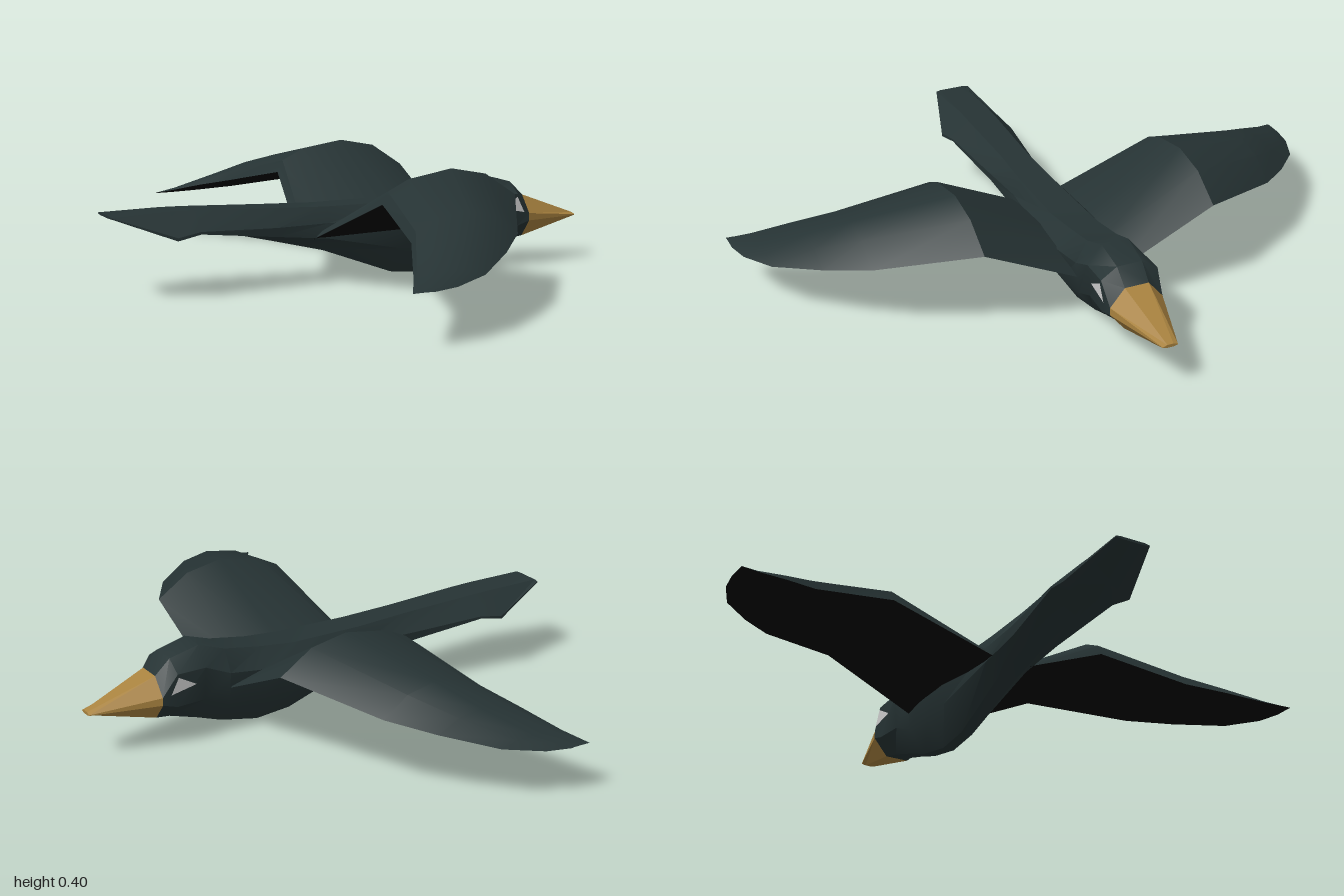
import * as THREE from 'three';
import { toCreasedNormals } from 'three/addons/utils/BufferGeometryUtils.js';

const mat = (color, extra = {}) => new THREE.MeshStandardMaterial({ color, ...extra });

// Skin a list of rings (arrays of [x, y, z]); closed rings wrap round and get end caps
function loft(rings, closed, crease) {
  const n = rings[0].length, index = [];
  for (let i = 0; i < rings.length - 1; i++) {
    for (let j = 0; j < (closed ? n : n - 1); j++) {
      const k = (j + 1) % n;
      const a = i * n + j, b = i * n + k, c = a + n, d = b + n;
      index.push(a, b, c, b, d, c);
    }
  }
  if (closed) {
    const end = (rings.length - 1) * n;
    for (let j = 1; j < n - 1; j++) {
      index.push(0, j + 1, j, end, end + j, end + j + 1);
    }
  }
  const geo = new THREE.BufferGeometry();
  geo.setAttribute('position', new THREE.Float32BufferAttribute(rings.flat(2), 3));
  geo.setIndex(index);
  return toCreasedNormals(geo, crease);
}

// Eight-sided body section: height and half width of top, upper side, lower side, bottom
function section([x, ...p]) {
  const half = [0, 2, 4, 6].map((i) => [x, p[i], p[i + 1]]);
  return [...half, ...half.map(([a, y, z]) => [a, y, -z]).reverse()];
}

// Tail, body and head, from back to front
const BODY = [
  [-0.845, 0.271, 0.045, 0.268, 0.06, 0.265, 0.06, 0.263, 0.03],
  [-0.65, 0.272, 0.05, 0.2, 0.118, 0.19, 0.118, 0.23, 0.04],
  [-0.57, 0.27, 0.05, 0.212, 0.11, 0.204, 0.11, 0.215, 0.04],
  [-0.3, 0.258, 0.045, 0.2, 0.085, 0.17, 0.08, 0.15, 0.03],
  [-0.12, 0.25, 0.05, 0.2, 0.075, 0.15, 0.075, 0.105, 0.03],
  [0.13, 0.25, 0.055, 0.2, 0.1, 0.1, 0.085, 0.012, 0.02],
  [0.25, 0.26, 0.05, 0.2, 0.1, 0.09, 0.08, 0, 0.02],
  [0.38, 0.28, 0.05, 0.21, 0.088, 0.1, 0.077, 0.025, 0.02],
  [0.47, 0.31, 0.045, 0.25, 0.092, 0.14, 0.082, 0.057, 0.025],
  [0.57, 0.285, 0.042, 0.25, 0.095, 0.14, 0.09, 0.088, 0.03],
  [0.62, 0.237, 0.04, 0.18, 0.088, 0.155, 0.088, 0.097, 0.04],
];
const BEAK = [
  [0.62, 0.237, 0.04, 0.18, 0.088, 0.155, 0.088, 0.097, 0.04],
  [0.84, 0.156, 0.01, 0.151, 0.025, 0.149, 0.025, 0.146, 0.01],
];

// Wing stations: z, leading x, trailing x, underside height, arch height
const WING = [
  [0.06, 0.38, -0.17, 0.148, 0.05],
  [0.39, 0.38, -0.09, 0.303, 0.097],
  [0.69, 0.21, -0.15, 0.238, 0.082],
  [0.81, 0.1, -0.21, 0.21, 0.05],
  [0.93, -0.04, -0.27, 0.178, 0.02],
  [0.985, -0.16, -0.302, 0.164, 0.006],
  [1.0, -0.24, -0.31, 0.16, 0.001],
];
// Arch across the chord, leading to trailing edge
const ARCH = [[0, 0], [0.23, 0.75], [0.49, 1], [0.81, 0.75], [0.96, 0.4], [1, 0]];

function wing(side, darkMat, underMat) {
  const sheet = (profile) => {
    const rings = WING.map(([z, lead, trail, y, h]) =>
      profile.map(([t, a]) => [lead + (trail - lead) * t, y + a * h, z * side]));
    return loft(side > 0 ? rings : rings.reverse(), false, 0.5);
  };
  const group = new THREE.Group();
  const top = new THREE.Mesh(sheet(ARCH), darkMat);
  const under = new THREE.Mesh(sheet([[1, 0], [0.5, 0], [0, 0]]), underMat);
  top.name = 'wingTop';
  under.name = 'wingUnderside';
  group.add(top, under);
  return group;
}

export function createModel() {
  const bird = new THREE.Group();
  bird.name = 'bird';
  const add = (name, object) => {
    object.name = name;
    bird.add(object);
  };
  const dark = mat(0x263334);
  const under = mat(0x040505);
  const eyeMat = mat(0xcccccc, { side: THREE.DoubleSide });

  add('body', new THREE.Mesh(loft(BODY.map(section), true, 0.6), dark));
  add('beak', new THREE.Mesh(loft(BEAK.map(section), true, 0.1), mat(0xa8823f)));

  for (const side of [1, -1]) {
    const word = side > 0 ? 'front' : 'back';
    add(word + 'Wing', wing(side, dark, under));

    // Triangular eye lying just off the side of the head
    const eye = new THREE.BufferGeometry().setFromPoints([
      new THREE.Vector3(0.505, 0.205, side * 0.096),
      new THREE.Vector3(0.595, 0.187, side * 0.098),
      new THREE.Vector3(0.568, 0.24, side * 0.098),
    ]);
    if (side < 0) eye.setIndex([0, 2, 1]);
    eye.computeVertexNormals();
    add(word + 'Eye', new THREE.Mesh(eye, eyeMat));
  }
  return bird;
}
